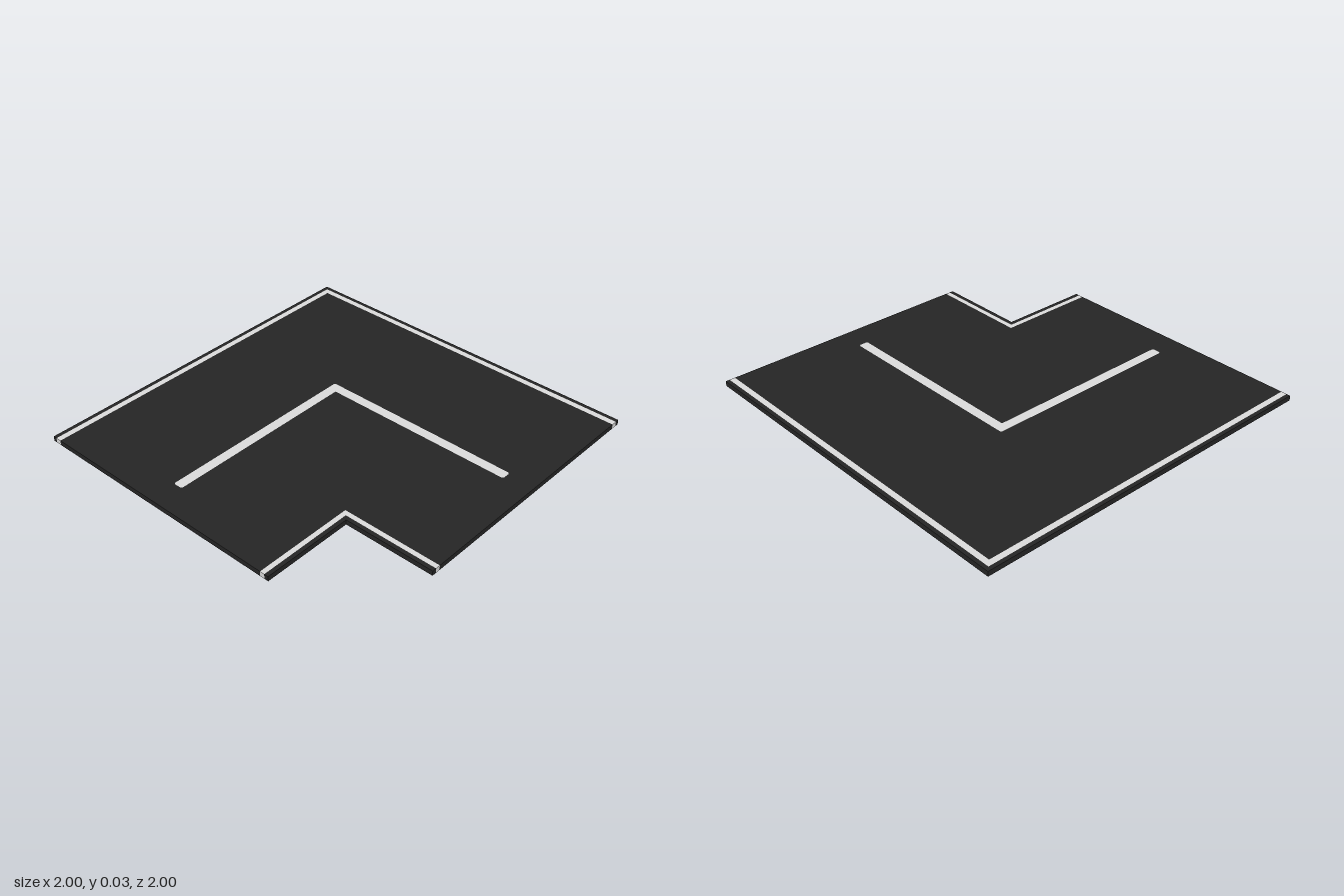
import * as THREE from 'three';

const HEIGHT = 0.027;

// Corner-shaped band between offsets a and b, with both arms reaching to end;
// c trims the corners of the outer bend and the arm tips
function bandPoints(a, b, end = 1, c = 0) {
  const points = c === 0
    ? [[a, a], [end, a], [end, b], [b, b], [b, end], [a, end]]
    : [[a + c, a], [end - c, a], [end, a + c], [end, b - c], [end - c, b], [b, b],
       [b, end - c], [b - c, end], [a + c, end], [a, end - c], [a, a + c]];
  return points.map(([x, z]) => new THREE.Vector2(x, z));
}

export function createModel() {
  const group = new THREE.Group();
  group.name = 'roadCorner';

  const asphalt = new THREE.MeshStandardMaterial({ color: 0x252525 });
  asphalt.name = 'asphalt';
  const paint = new THREE.MeshStandardMaterial({ color: 0xd9d9d9 });
  paint.name = 'linePaint';

  // Extrudes a plan outline (x, z) into a slab standing on y = 0
  function addSlab(name, points, material, hole) {
    const shape = new THREE.Shape(points);
    if (hole) shape.holes.push(new THREE.Path(hole));
    const geometry = new THREE.ExtrudeGeometry(shape, { depth: HEIGHT, bevelEnabled: false });
    geometry.rotateX(Math.PI / 2);
    geometry.translate(0, HEIGHT, 0);
    const mesh = new THREE.Mesh(geometry, material);
    mesh.name = name;
    group.add(mesh);
  }

  // Centre line set through the road surface
  const centre = bandPoints(-0.28, -0.227, 0.847, 0.008);

  addSlab('outerEdge', bandPoints(-1, -0.978), asphalt);
  addSlab('outerLine', bandPoints(-0.978, -0.947), paint);
  addSlab('roadSurface', bandPoints(-0.947, 0.448), asphalt, centre);
  addSlab('centreLine', centre, paint);
  addSlab('innerLine', bandPoints(0.448, 0.474), paint);
  addSlab('innerEdge', bandPoints(0.474, 0.497), asphalt);

  return group;
}
